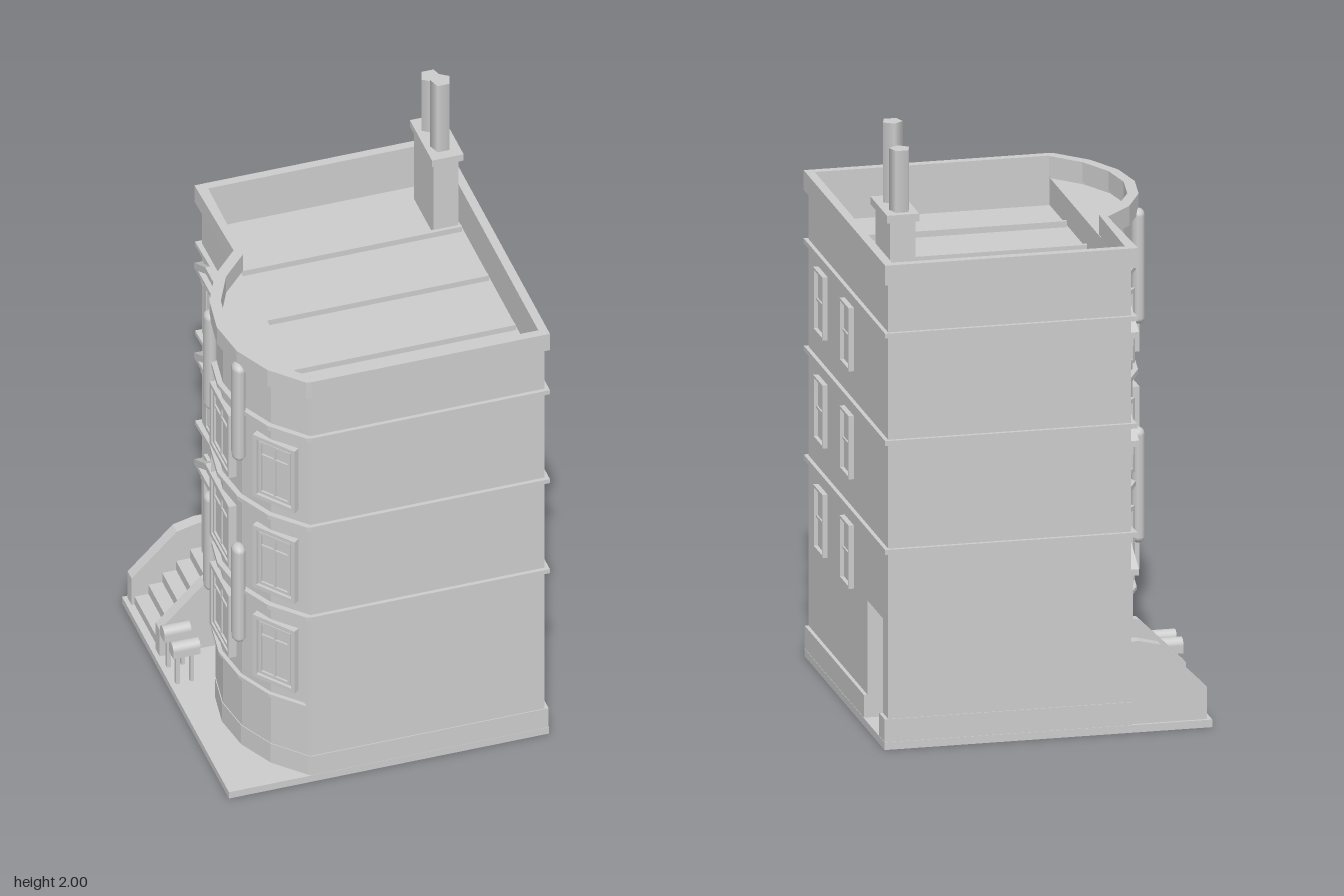
import * as THREE from 'three';

const material = new THREE.MeshStandardMaterial({ color: 0xcccccc, side: THREE.DoubleSide });
const BAY_ANGLE = THREE.MathUtils.degToRad(52), BAY_Z = 0.18, BAY_R = 0.437, ROOF = 1.43;

function add(parent, name, geometry, x = 0, y = 0, z = 0) {
  const mesh = new THREE.Mesh(geometry, material);
  mesh.name = name;
  mesh.position.set(x, y, z);
  parent.add(mesh);
  return mesh;
}

// Box given by its limits on each axis
function block(parent, name, [x0, x1], [y0, y1], [z0, z1]) {
  return add(parent, name, new THREE.BoxGeometry(x1 - x0, y1 - y0, z1 - z0),
    (x0 + x1) / 2, (y0 + y1) / 2, (z0 + z1) / 2);
}

const polygon = points => points.map(([x, y]) => new THREE.Vector2(x, y));

// Plan outline given as [x, z] points, raised from y0 to y1
function prism(parent, name, plan, y0, y1, hole) {
  const flip = pts => polygon(pts.map(([x, z]) => [x, -z]));
  const shape = new THREE.Shape(flip(plan));
  if (hole) shape.holes.push(new THREE.Path(flip(hole)));
  const geometry = new THREE.ExtrudeGeometry(shape, { depth: y1 - y0, bevelEnabled: false });
  geometry.rotateX(-Math.PI / 2);
  return add(parent, name, geometry, 0, y0, 0);
}

// Faceted bay curve, offset outward by d
function bayArc(d) {
  return Array.from({ length: 7 }, (_, i) => {
    const a = BAY_ANGLE * (1 - i / 3);
    return [-(BAY_R + d) * Math.cos(a), BAY_Z + (BAY_R + d) * Math.sin(a)];
  });
}

// Whole building outline with outward offsets, optionally cut by the side door recess
function footprint({ side = 0, end = side, arc = side, recess = false }) {
  const right = 0.515 + side, back = -0.525 - end;
  const cut = recess ? [[right, -0.455], [0.37, -0.455], [0.37, -0.25], [right, -0.25]] : [];
  return [[right, back], ...cut, [right, 0.531 + end], [-0.262, 0.531 + end], ...bayArc(arc), [-0.272 - arc, back]];
}

// Upright rectangular ring facing +z
function ring(parent, name, w, h, border, depth, z = 0) {
  const rect = (a, b) => polygon([[-a, -b], [a, -b], [a, b], [-a, b]]);
  const shape = new THREE.Shape(rect(w / 2, h / 2));
  shape.holes.push(new THREE.Path(rect(w / 2 - border, h / 2 - border)));
  return add(parent, name, new THREE.ExtrudeGeometry(shape, { depth, bevelEnabled: false }), 0, 0, z);
}

// Group whose local +z points along (nx, nz)
function facing(parent, name, x, y, z, nx, nz) {
  const group = new THREE.Group();
  group.name = name;
  group.position.set(x, y, z);
  group.rotation.y = Math.atan2(nx, nz);
  parent.add(group);
  return group;
}

// Sash window with a shallow surround
function streetWindow(parent, x, y, z, nx, nz, w, h) {
  const g = facing(parent, 'streetWindow', x, y, z, nx, nz);
  ring(g, 'windowSurround', w, h, 0.014, 0.026, -0.01);
  ring(g, 'windowSash', w - 0.04, h - 0.04, 0.01, 0.02, -0.008);
  block(g, 'windowPane', [-w / 2 + 0.01, w / 2 - 0.01], [-h / 2 + 0.01, h / 2 - 0.01], [-0.015, 0.005]);
  block(g, 'windowTransom', [-w / 2 + 0.025, w / 2 - 0.025], [0.045, 0.053], [0, 0.011]);
  block(g, 'windowMullion', [-0.004, 0.004], [-h / 2 + 0.025, h / 2 - 0.025], [0, 0.01]);
}

// Gabled hood over an opening
function hood(parent, y) {
  const g = facing(parent, 'hood', -0.272, y, -0.36, -1, 0);
  const shape = new THREE.Shape(polygon([[-0.15, 0], [0.15, 0], [0.15, 0.02], [0.04, 0.082], [-0.04, 0.082], [-0.15, 0.02]]));
  shape.holes.push(new THREE.Path(polygon([[-0.11, 0.016], [0.11, 0.016], [0.03, 0.063], [-0.03, 0.063]])));
  add(g, 'hoodGable', new THREE.ExtrudeGeometry(shape, { depth: 0.03, bevelEnabled: false }));
  block(g, 'hoodInfill', [-0.11, 0.11], [0.01, 0.064], [0, 0.012]);
  for (const s of [-1, 1]) block(g, 'hoodBracket', [s * 0.108 - 0.01, s * 0.108 + 0.01], [-0.035, 0], [0, 0.02]);
}

function addRoof(g) {
  prism(g, 'parapetWall', footprint({}), ROOF, 1.53, footprint({ side: -0.008 }));
  prism(g, 'parapetCoping', footprint({ side: 0.013, arc: 0.02 }), 1.53, 1.595, footprint({ side: -0.016 }));
  prism(g, 'bayRoof', bayArc(-0.007), ROOF, 1.52);
  for (const z of [-0.255, 0.012, 0.281]) block(g, 'roofBatten', [-0.26, 0.5], [ROOF, ROOF + 0.02], [z - 0.007, z + 0.007]);
  // Chimney
  block(g, 'chimneyStack', [0.41, 0.492], [ROOF, 1.72], [-0.455, -0.26]);
  block(g, 'chimneyCap', [0.4, 0.505], [1.712, 1.737], [-0.468, -0.247]);
  [[-0.31, 2, Math.PI], [-0.415, 1.94, 0]].forEach(([z, top, turn]) => {
    const pot = add(g, 'chimneyPot', new THREE.CylinderGeometry(0.034, 0.034, top - 1.73, 5), 0.45, (top + 1.73) / 2, z);
    pot.rotation.y = turn;
  });
}

function addBay(g) {
  prism(g, 'bayCourse', bayArc(0.014), 0.292, 0.304);
  for (const y of [0.47, 0.825, 1.185]) {
    for (const a of [-37, 0, 37].map(THREE.MathUtils.degToRad)) {
      const nx = -Math.cos(a), nz = Math.sin(a), r = BAY_R - 0.004;
      streetWindow(g, r * nx, y, BAY_Z + r * nz, nx, nz, a ? 0.16 : 0.19, 0.245);
    }
  }
  // Rounded uprights between the windows
  for (const z of [0.04, 0.32]) {
    for (const y of [0.64, 1.36]) {
      const post = add(g, 'bayPilaster', new THREE.CapsuleGeometry(0.022, 0.336, 5, 10), -0.432, y, z);
      post.scale.z = 1.4;
    }
  }
}

function addEntrance(g) {
  for (const y of [0.815, 1.172]) {
    streetWindow(g, -0.272, y, -0.36, -1, 0, 0.18, 0.235);
    hood(g, y + 0.118);
  }
  hood(g, 0.51);
  const door = facing(g, 'entranceDoor', -0.272, 0.355, -0.36, -1, 0);
  ring(door, 'doorSurround', 0.2, 0.31, 0.022, 0.022);
  block(door, 'doorLeaf', [-0.08, 0.08], [-0.15, 0.14], [0, 0.008]);
  for (const x of [-0.037, 0.037]) {
    for (const y of [-0.085, 0.005, 0.095]) {
      const panel = ring(door, 'doorPanel', 0.06, 0.075, 0.008, 0.006, 0.008);
      panel.position.x = x;
      panel.position.y = y;
    }
  }
  add(door, 'doorKnob', new THREE.SphereGeometry(0.008, 10, 8), 0, -0.04, 0.034);
  // Steps and sloping side walls
  for (let i = 0; i < 5; i++) {
    block(g, 'step', [-0.51 + i * 0.046, -0.26], [0.02 + i * 0.036, 0.056 + i * 0.036], [-0.485, -0.235]);
  }
  const cheek = new THREE.Shape(polygon([[-0.52, 0.02], [-0.52, 0.13], [-0.37, 0.28], [-0.3, 0.297], [-0.26, 0.297], [-0.26, 0.02]]));
  for (const z of [-0.52, -0.24]) {
    add(g, 'stepSideWall', new THREE.ExtrudeGeometry(cheek, { depth: 0.04, bevelEnabled: false }), 0, 0, z);
  }
}

// Rounded post boxes on thin legs
function addPostBoxes(g) {
  for (const z of [-0.145, -0.055]) {
    const lid = new THREE.CylinderGeometry(0.023, 0.023, 0.09, 16).rotateZ(Math.PI / 2);
    add(g, 'postBox', lid, -0.485, 0.163, z);
    block(g, 'postBoxBase', [-0.53, -0.44], [0.138, 0.163], [z - 0.023, z + 0.023]);
    for (const x of [-0.51, -0.463]) block(g, 'postBoxLeg', [x - 0.006, x + 0.006], [0.02, 0.14], [z - 0.008, z + 0.008]);
  }
}

function addSideWall(g) {
  for (const y of [0.5, 0.86, 1.215]) {
    for (const z of [0.34, -0.008]) {
      const w = facing(g, 'sideWindow', 0.515, y, z, 1, 0);
      ring(w, 'windowFrame', 0.122, 0.208, 0.008, 0.017);
      block(w, 'windowPane', [-0.055, 0.055], [-0.098, 0.098], [0, 0.004]);
      block(w, 'windowRail', [-0.055, 0.055], [-0.004, 0.004], [0, 0.009]);
    }
  }
  // Recessed side door
  const door = facing(g, 'sideDoor', 0.37, 0.15, -0.355, 1, 0);
  ring(door, 'sideDoorFrame', 0.15, 0.245, 0.012, 0.015);
  block(door, 'sideDoorLeaf', [-0.064, 0.064], [-0.12, 0.112], [0, 0.008]);
  add(door, 'sideDoorKnob', new THREE.SphereGeometry(0.008, 10, 8), 0.04, 0, 0.015);
}

export function createModel() {
  const model = new THREE.Group();
  model.name = 'townhouse';

  // Ground plate and walls
  block(model, 'pavement', [-0.535, 0.528], [0, 0.025], [-0.53, 0.535]);
  prism(model, 'plinth', footprint({ side: 0.012, end: 0.003, arc: 0.003, recess: true }), 0.02, 0.1);
  prism(model, 'lowerWalls', footprint({ recess: true }), 0.1, 0.41);
  prism(model, 'upperWalls', footprint({}), 0.41, ROOF);
  for (const y of [0.652, 1.01, 1.363]) {
    prism(model, 'stringCourse', footprint({ side: 0.013, arc: 0.018 }), y - 0.008, y + 0.008);
  }

  addRoof(model);
  addBay(model);
  addEntrance(model);
  addPostBoxes(model);
  addSideWall(model);
  return model;
}
